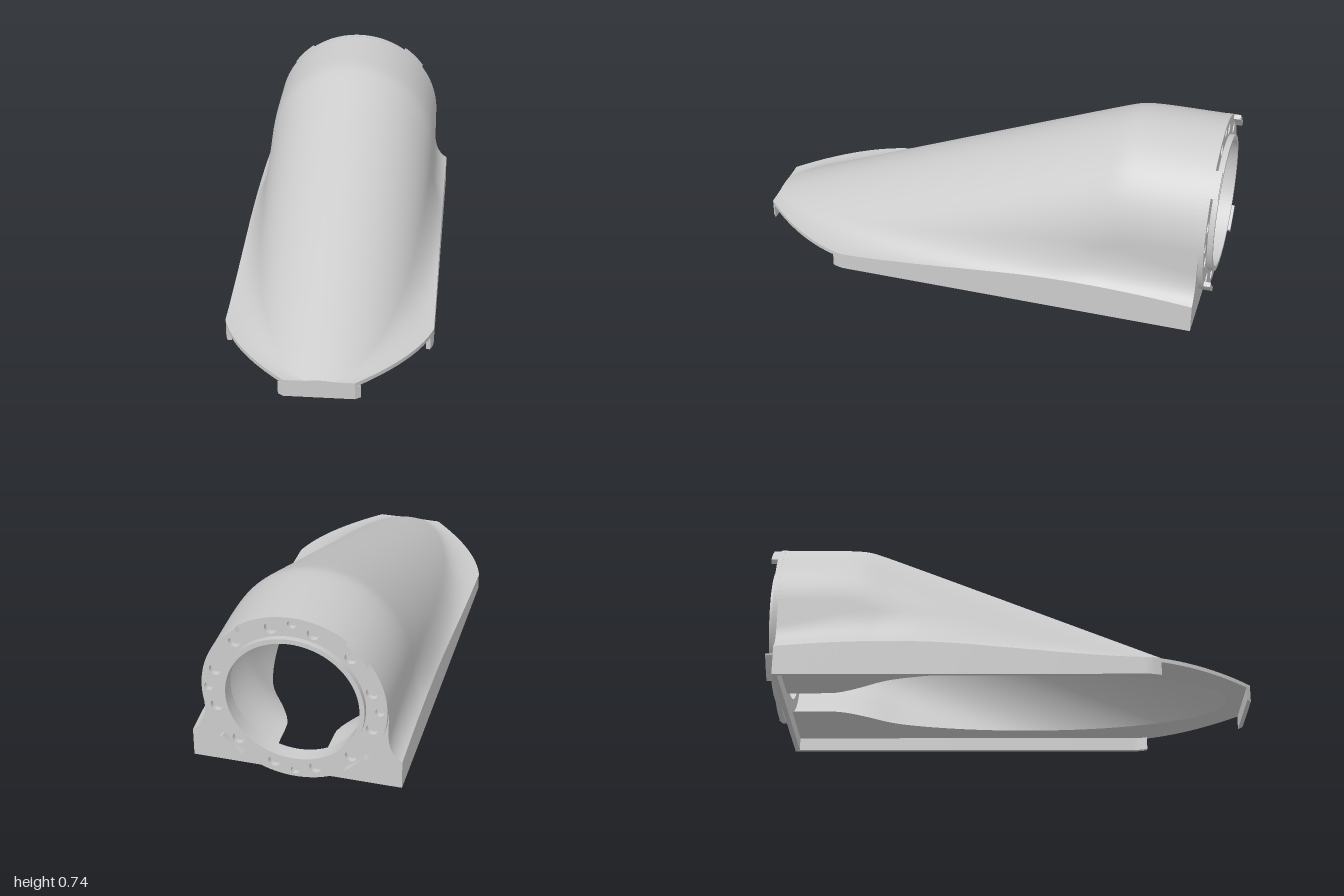
import * as THREE from 'three';

const BACK = -0.95, R = 0.372, RI = 0.32, CY = 0.374, FLOOR = 0.012, DECK = 0.068, SKIRT_END = 0.61;
const WALL = R - RI;
const lerp = THREE.MathUtils.lerp, smooth = THREE.MathUtils.smoothstep;
const mat = new THREE.MeshStandardMaterial({ color: 0xcccccc, side: THREE.DoubleSide });

// Ridge height: level at the back, then a straight slope to the front lip
function ridge(z) {
  const slope = 0.09 + 0.41 * (1 - z), d = 0.745 - slope;
  return 0.5 * (0.745 + slope - Math.sqrt(d * d + 0.0003));
}
const semi = z => lerp(R, 0.402, smooth(z, -0.75, -0.45));

// Half width of the base outline
function halfWidth(z) {
  const s = Math.max(0, (z - 0.57) / 0.43);
  return 0.14 + 0.288 * (1 - s) * (1 + 0.6 * s);
}

// Height of the flared edge
const edgeCurve = new THREE.CatmullRomCurve3(
  [[-0.95, 0.135], [-0.75, 0.15], [-0.5, 0.157], [-0.25, 0.15], [0, 0.128], [0.25, 0.104], [0.5, 0.087], [0.75, 0.085], [1, 0.085]]
    .map(([z, y]) => new THREE.Vector3(z, y, 0)));
const edgeTable = edgeCurve.getPoints(160);
function edge(z) {
  const i = Math.max(1, edgeTable.findIndex(p => p.x >= z - 1e-6));
  const a = edgeTable[i - 1], b = edgeTable[i];
  return lerp(a.y, b.y, THREE.MathUtils.clamp((z - a.x) / (b.x - a.x), 0, 1));
}

const mirrored = half => [...half, ...half.slice(0, -1).reverse().map(([x, y]) => [-x, y])];

// Outer cross-section: concave flare from the edge, then the round crown
function outerSection(z) {
  const T = ridge(z), b = semi(z), c = T - b, E = edge(z), X = halfWidth(z);
  const rise = lerp(0.12, 0.165, smooth(z, -0.95, -0.6));
  const F = E + Math.min(rise, 0.33 * (T - E));
  const cos = Math.max(0, (F - c) / b), th = Math.acos(Math.min(1, cos));
  const xF = R * Math.sin(th);
  const yC = E + (F - E) * lerp(0.28, 0.04, smooth(z, -0.3, 0.6));
  const xC = Math.min(X, xF + (F - yC) * R * cos / (b * Math.sin(th)));
  const half = [];
  for (let i = 0; i <= 12; i++) {
    const t = i / 12, s = 1 - t;
    half.push([s * s * X + 2 * s * t * xC + t * t * xF, s * s * E + 2 * s * t * yC + t * t * F]);
  }
  // Straight flank up to the crown where the flare meets it below mid height
  if (F < c) half.push([R, c]); else half.push([xF, F]);
  for (let i = 1; i <= 28; i++) {
    const a = th * (1 - i / 28);
    half.push([R * Math.sin(a), c + b * Math.cos(a)]);
  }
  return mirrored(half);
}

// Inner cross-section: a round bore cut open by the deck plane
function innerSection(z) {
  const b = semi(z) - WALL * semi(z) / R, c = ridge(z) - semi(z);
  const th = Math.acos(THREE.MathUtils.clamp((DECK - c) / b, -1, 1));
  const half = [];
  for (let i = 0; i <= 32; i++) {
    const a = th * (1 - i / 32);
    half.push([RI * Math.sin(a), c + b * Math.cos(a)]);
  }
  return mirrored(half);
}

// Surface through cross-sections placed along z
function loft(name, zs, section) {
  const rows = zs.map(section), n = rows[0].length, pos = [], idx = [];
  rows.forEach((row, j) => row.forEach(([x, y]) => pos.push(x, y, zs[j])));
  for (let j = 0; j < zs.length - 1; j++) for (let i = 0; i < n - 1; i++) {
    const a = j * n + i, b = a + n;
    idx.push(a, b, a + 1, b, b + 1, a + 1);
  }
  const g = new THREE.BufferGeometry();
  g.setAttribute('position', new THREE.Float32BufferAttribute(pos, 3));
  g.setIndex(idx);
  g.computeVertexNormals();
  return mesh(name, g);
}

function mesh(name, geometry) {
  const m = new THREE.Mesh(geometry, mat);
  m.name = name;
  return m;
}

function extrude(name, shape, depth, z) {
  const g = new THREE.ExtrudeGeometry(shape, { depth, bevelEnabled: false, curveSegments: 64 });
  return mesh(name, g.translate(0, 0, z));
}

const range = (a, b, n) => Array.from({ length: n + 1 }, (_, i) => lerp(a, b, i / n));
const polygon = points => new THREE.Shape(points.map(p => new THREE.Vector2(...p)));
const circle = (x, y, r) => new THREE.Path().absarc(x, y, r, 0, Math.PI * 2, true);
const disc = r => new THREE.Shape().absarc(0, CY, r, 0, Math.PI * 2);

export function createModel() {
  const model = new THREE.Group();
  const TIP = 0.915;

  // Shell and cavity
  model.add(loft('outerShell', range(BACK, 1, 100), outerSection));
  const cavityZ = range(0, 1, 80).map(t => lerp(BACK, TIP, Math.sin(t * Math.PI / 2)));
  model.add(loft('innerCavity', cavityZ, innerSection));

  // Deck, rim and hollow skirts on both sides
  const skirtZ = range(BACK, SKIRT_END, 70), lipZ = range(SKIRT_END, 1, 30);
  for (const s of [1, -1]) {
    const side = s > 0 ? 'left' : 'right';
    const strip = (part, zs, a, b) => model.add(loft(side + part, zs, z => [a(z), b(z)]));
    const rim = y => z => [s * halfWidth(z), y];
    const inset = y => z => [s * (halfWidth(z) - 0.018), y];
    const top = z => [s * halfWidth(z), edge(z)];
    strip('Deck', [...cavityZ, ...range(TIP + 0.002, 1, 12)], rim(DECK),
      z => [s * (z > TIP ? 0 : innerSection(z)[0][0]), DECK]);
    strip('Lip', lipZ, top, rim(DECK));
    strip('SkirtOuter', skirtZ, top, rim(FLOOR));
    strip('SkirtInner', skirtZ, inset(DECK), inset(FLOOR));
    strip('SkirtBottom', skirtZ, rim(FLOOR), inset(FLOOR));
    const cap = new THREE.BoxGeometry(0.018, DECK - FLOOR, 0.004);
    model.add(mesh(side + 'SkirtEnd', cap.translate(s * (halfWidth(SKIRT_END) - 0.009), (DECK + FLOOR) / 2, SKIRT_END - 0.002)));
  }

  // Front foot and lip face
  const foot = polygon([[-0.14, -1], [0.14, -1], [0.163, -0.983], [-0.163, -0.983]]);
  const footGeo = new THREE.ExtrudeGeometry(foot, { depth: DECK - FLOOR, bevelEnabled: false });
  model.add(mesh('frontFoot', footGeo.rotateX(-Math.PI / 2).translate(0, FLOOR, 0)));
  const lip = polygon([[0.14, DECK], ...outerSection(1), [-0.14, DECK]]);
  model.add(mesh('frontLip', new THREE.ShapeGeometry(lip).translate(0, 0, 1)));

  // Rear wall
  const wall = polygon([[halfWidth(BACK), FLOOR], ...outerSection(BACK), [-halfWidth(BACK), FLOOR]]);
  wall.holes.push(circle(0, CY, 0.268));
  model.add(extrude('rearWall', wall, 0.02, BACK));

  // Flange ring: twelve bolt holes and four smaller pin holes
  const flange = disc(R);
  flange.holes.push(circle(0, CY, 0.268));
  const drill = (angle, at, r) => flange.holes.push(circle(at * Math.cos(angle), CY + at * Math.sin(angle), r));
  for (let k = 0; k < 12; k++) drill((k + 0.5) * Math.PI / 6, 0.324, 0.025);
  for (let k = 0; k < 4; k++) drill(k * Math.PI / 2, 0.343, 0.018);
  model.add(extrude('flangeRing', flange, 0.022, -0.972));

  // Raised collar around the bore
  const collar = disc(0.288);
  collar.holes.push(circle(0, CY, 0.268));
  model.add(extrude('boreCollar', collar, 0.023, -0.995));

  // Locating tabs on the flange rim
  for (let q = 0; q < 4; q++) {
    const a0 = (q * 90 + 36) * Math.PI / 180, a1 = (q * 90 + 54) * Math.PI / 180;
    const tab = new THREE.Shape().absarc(0, CY, R, a0, a1).absarc(0, CY, 0.352, a1, a0, true);
    model.add(extrude('rimTab' + (q + 1), tab, 0.028, -1));
  }
  return model;
}
